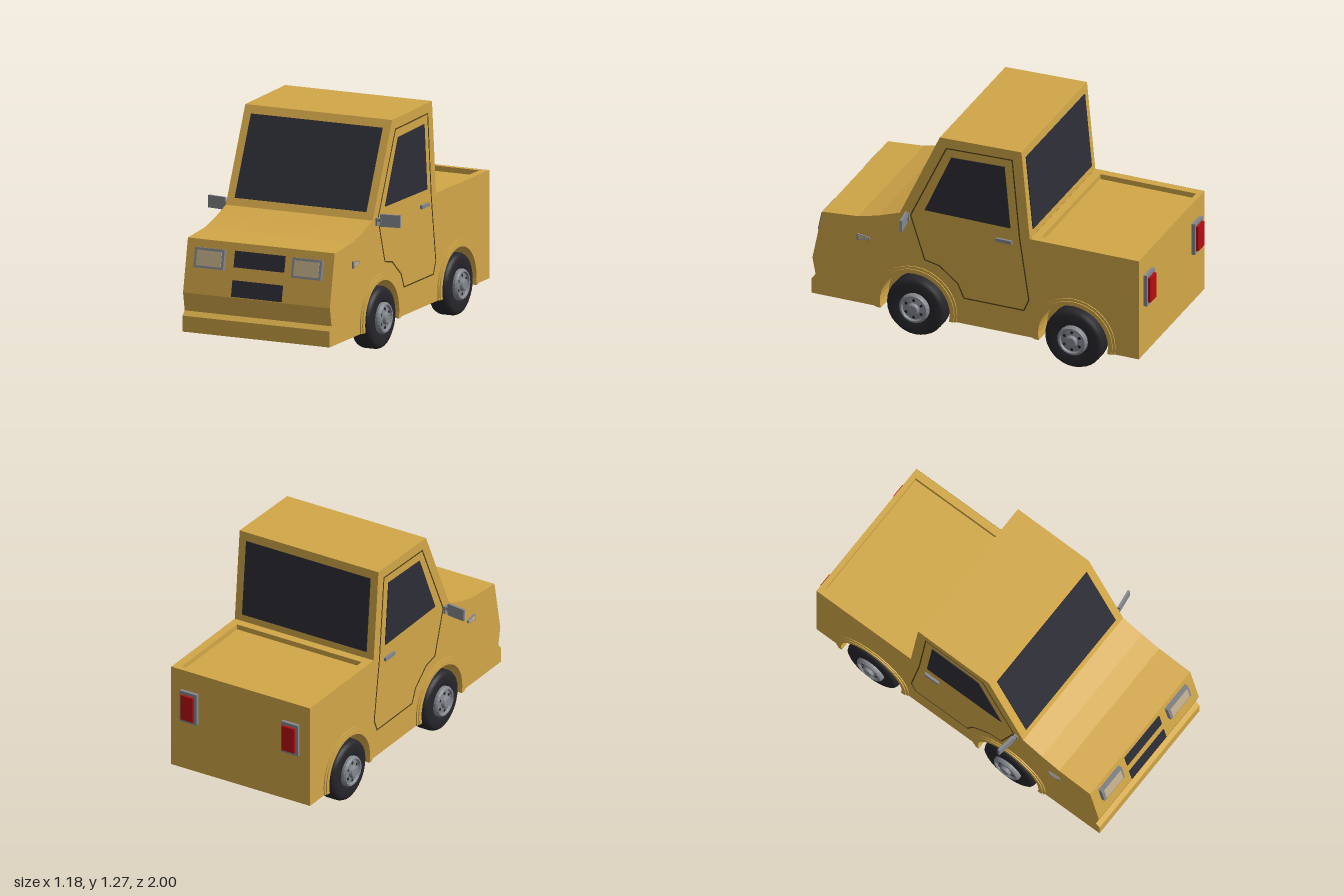
import * as THREE from 'three';

const mat = (name, color, side = THREE.FrontSide) => {
  const m = new THREE.MeshStandardMaterial({ color, side });
  m.name = name;
  return m;
};

export function createModel() {
  const yellow = mat('yellow paint', 0xd2a748, THREE.DoubleSide);
  const seamMat = mat('seam', 0x54431c);
  const glass = mat('dark glass', 0x2d2d36);
  const rubber = mat('rubber', 0x26262b);
  const metal = mat('grey metal', 0x83878e);
  const lens = mat('lamp lens', 0xc4b08c);
  const red = mat('tail red', 0xb80c10);

  const truck = new THREE.Group();
  truck.name = 'pickupTruck';
  const W = 0.452, WELL_IN = 0.34, ARCH_R = 0.21, SILL = 0.13, HUB_Y = 0.175;
  const axles = [0.375, -0.575];

  const add = (name, geo, material, parent = truck) => {
    const mesh = new THREE.Mesh(geo, material);
    mesh.name = name;
    parent.add(mesh);
    return mesh;
  };
  const box = (name, w, h, d, material, x, y, z, tilt = 0, parent = truck) => {
    const mesh = add(name, new THREE.BoxGeometry(w, h, d), material, parent);
    mesh.position.set(x, y, z);
    mesh.rotation.x = tilt;
    return mesh;
  };
  const shapeOf = pts => new THREE.Shape(pts.map(p => new THREE.Vector2(p[0], p[1])));

  // Sheet swept across x along a (z, y) profile, with flat faces
  const sheet = (pts, x0, x1) => {
    const v = [];
    for (let i = 0; i < pts.length - 1; i++) {
      const [a, b] = [pts[i], pts[i + 1]];
      v.push(x0, a[1], a[0], x1, a[1], a[0], x1, b[1], b[0]);
      v.push(x0, a[1], a[0], x1, b[1], b[0], x0, b[1], b[0]);
    }
    const g = new THREE.BufferGeometry();
    g.setAttribute('position', new THREE.Float32BufferAttribute(v, 3));
    g.computeVertexNormals();
    return g;
  };
  // Flat or thick (z, y) outline standing at a given x
  const sidePlate = (shape, x, depth = 0) => {
    const g = depth
      ? new THREE.ExtrudeGeometry(shape, { depth, bevelEnabled: false, curveSegments: 24 }).translate(0, 0, -depth / 2)
      : new THREE.ShapeGeometry(shape, 24);
    return g.rotateY(-Math.PI / 2).translate(x, 0, 0);
  };
  // Wheel arch points from rear to front, ending on the sill line
  const arc = (cz, r, n = 20) => {
    const low = Math.asin((HUB_Y - SILL) / r);
    return Array.from({ length: n + 1 }, (_, i) => {
      const t = Math.PI + low - (Math.PI + 2 * low) * i / n;
      return [cz + r * Math.cos(t), HUB_Y + r * Math.sin(t)];
    });
  };

  // Body shell, open underneath
  const cabFront = [[1, SILL], [1, 0.22], [0.975, 0.245], [0.995, 0.35], [0.935, 0.648],
    [0.72, 0.665], [0.6, 0.695], [0.47, 0.74], [0.23, 1.26], [-0.26, 1.27], [-0.31, 0.74]];
  const tail = [[-0.965, 0.74], [-0.965, SILL]];
  add('bodyShell', sheet(cabFront, -W, W), yellow);
  add('tailgate', sheet(tail, -W, W), yellow);
  const outline = [...cabFront, ...tail, ...arc(axles[1], ARCH_R), ...arc(axles[0], ARCH_R)];

  // Shallow bed with a raised rim
  const rim = shapeOf([[-W + 0.001, -0.964], [W - 0.001, -0.964], [W - 0.001, -0.311], [-W + 0.001, -0.311]]);
  rim.holes.push(new THREE.Path([[-0.405, -0.935], [-0.405, -0.36], [0.405, -0.36], [0.405, -0.935]]
    .map(p => new THREE.Vector2(...p))));
  add('bedRim', new THREE.ExtrudeGeometry(rim, { depth: 0.035, bevelEnabled: false })
    .rotateX(Math.PI / 2).translate(0, 0.74, 0), yellow);
  add('bedFloor', new THREE.PlaneGeometry(0.82, 0.585).rotateX(-Math.PI / 2).translate(0, 0.71, -0.6475), yellow);

  // Windscreen and rear window
  box('windscreen', 0.81, 0.479, 0.009, glass, 0, 0.9975, 0.351, -Math.atan2(0.24, 0.52));
  box('rearWindow', 0.81, 0.442, 0.009, glass, 0, 1.0, -0.2855, Math.atan2(0.05, 0.53));

  // Grille slots on the leaning nose
  const lean = -0.2;
  box('upperGrille', 0.31, 0.092, 0.009, glass, 0, 0.56, 0.954, lean);
  box('lowerGrille', 0.31, 0.092, 0.009, glass, 0, 0.4, 0.986, lean);

  const doorLine = [[0.405, 0.74], [0.19, 1.2], [-0.205, 1.21], [-0.25, 0.73], [-0.305, 0.36], [-0.275, 0.29],
    [0.085, 0.29], [0.12, 0.37], [0.23, 0.46], [0.32, 0.48], [0.405, 0.74]];
  const windowLine = [[0.32, 0.79], [0.16, 1.15], [-0.16, 1.16], [-0.195, 0.785]];
  const markerLine = [[0.725, 0.56], [0.65, 0.55], [0.65, 0.535], [0.725, 0.52]];
  const markerLens = [[0.717, 0.553], [0.657, 0.546], [0.657, 0.539], [0.717, 0.527]];

  // Tyre profile as (radius, distance along the axle)
  const tyreProfile = [[0.085, -0.062], [0.15, -0.062], [0.168, -0.052], [0.175, -0.035],
    [0.175, 0.035], [0.168, 0.052], [0.15, 0.062], [0.1, 0.062], [0.085, 0.05]]
    .map(p => new THREE.Vector2(...p));
  const hubProfile = [[0, -0.085], [0.03, -0.085], [0.03, -0.07], [0.085, -0.07], [0.088, 0.07], [0.08, 0.082],
    [0.072, 0.082], [0.066, 0.07], [0.036, 0.074], [0.031, 0.09], [0.026, 0.093], [0, 0.093]]
    .map(p => new THREE.Vector2(...p));

  const makeWheel = () => {
    const wheel = new THREE.Group();
    wheel.name = 'wheel';
    add('tyre', new THREE.LatheGeometry(tyreProfile, 32), rubber, wheel);
    const hubGeo = new THREE.LatheGeometry(hubProfile, 24).toNonIndexed();
    hubGeo.computeVertexNormals();
    add('hub', hubGeo, metal, wheel);
    for (let i = 0; i < 6; i++) {
      const a = i * Math.PI / 3;
      const hole = add('hubHole', new THREE.CylinderGeometry(0.009, 0.009, 0.008, 8), rubber, wheel);
      hole.position.set(0.052 * Math.cos(a), 0.07, 0.052 * Math.sin(a));
    }
    return wheel;
  };

  for (const s of [1, -1]) {
    const side = new THREE.Group();
    side.name = s > 0 ? 'leftSide' : 'rightSide';
    truck.add(side);

    add('sidePanel', sidePlate(shapeOf(outline), s * W), yellow, side);
    add('sideWindow', sidePlate(shapeOf(windowLine), s * W, 0.009), glass, side);

    // Door gap
    for (let i = 0; i < doorLine.length - 1; i++) {
      const [a, b] = [doorLine[i], doorLine[i + 1]];
      const dz = b[0] - a[0], dy = b[1] - a[1];
      box('doorSeam', 0.004, Math.hypot(dz, dy) + 0.005, 0.007, seamMat,
        s * W, (a[1] + b[1]) / 2, (a[0] + b[0]) / 2, Math.atan2(dz, dy), side);
    }

    box('doorHandle', 0.016, 0.02, 0.095, metal, s * (W + 0.007), 0.7, -0.158, 0, side);
    add('sideMarker', sidePlate(shapeOf(markerLine), s * (W + 0.004), 0.012), metal, side);
    add('sideMarkerLens', sidePlate(shapeOf(markerLens), s * (W + 0.009), 0.005), lens, side);

    // Wing mirror
    const mirror = box('mirror', 0.115, 0.07, 0.014, metal, s * 0.533, 0.735, 0.412, 0, side);
    mirror.rotation.y = s * 0.14;
    box('mirrorStem', 0.05, 0.018, 0.014, metal, s * 0.462, 0.735, 0.422, 0, side);
    box('mirrorFoot', 0.014, 0.045, 0.025, metal, s * (W + 0.003), 0.725, 0.422, 0, side);

    // Lamps
    box('headlightFrame', 0.182, 0.112, 0.03, metal, s * 0.3, 0.55, 0.964, lean, side);
    box('headlightLens', 0.152, 0.086, 0.009, lens, s * 0.3, 0.552, 0.978, lean, side);
    box('tailLightFrame', 0.11, 0.19, 0.024, metal, s * 0.33, 0.525, -0.973, 0, side);
    box('tailLight', 0.08, 0.15, 0.02, red, s * 0.33, 0.525, -0.99, 0, side);

    // Wheels, wheel wells and stepped arch trims
    for (const z of axles) {
      const well = arc(z, ARCH_R);
      add('wheelWell', sheet(well, s * WELL_IN, s * W), yellow, side);
      add('wheelWellWall', sidePlate(shapeOf(well), s * WELL_IN), yellow, side);
      for (const [r, out] of [[0.25, 0.006], [0.235, 0.012]]) {
        const trim = shapeOf([...arc(z, r), ...arc(z, ARCH_R).reverse()]);
        add('archTrim', sidePlate(trim, s * W, out * 2), yellow, side);
      }
      const wheel = makeWheel();
      wheel.rotation.z = -s * Math.PI / 2;
      wheel.position.set(s * 0.408, HUB_Y, z);
      side.add(wheel);
    }
  }
  return truck;
}
